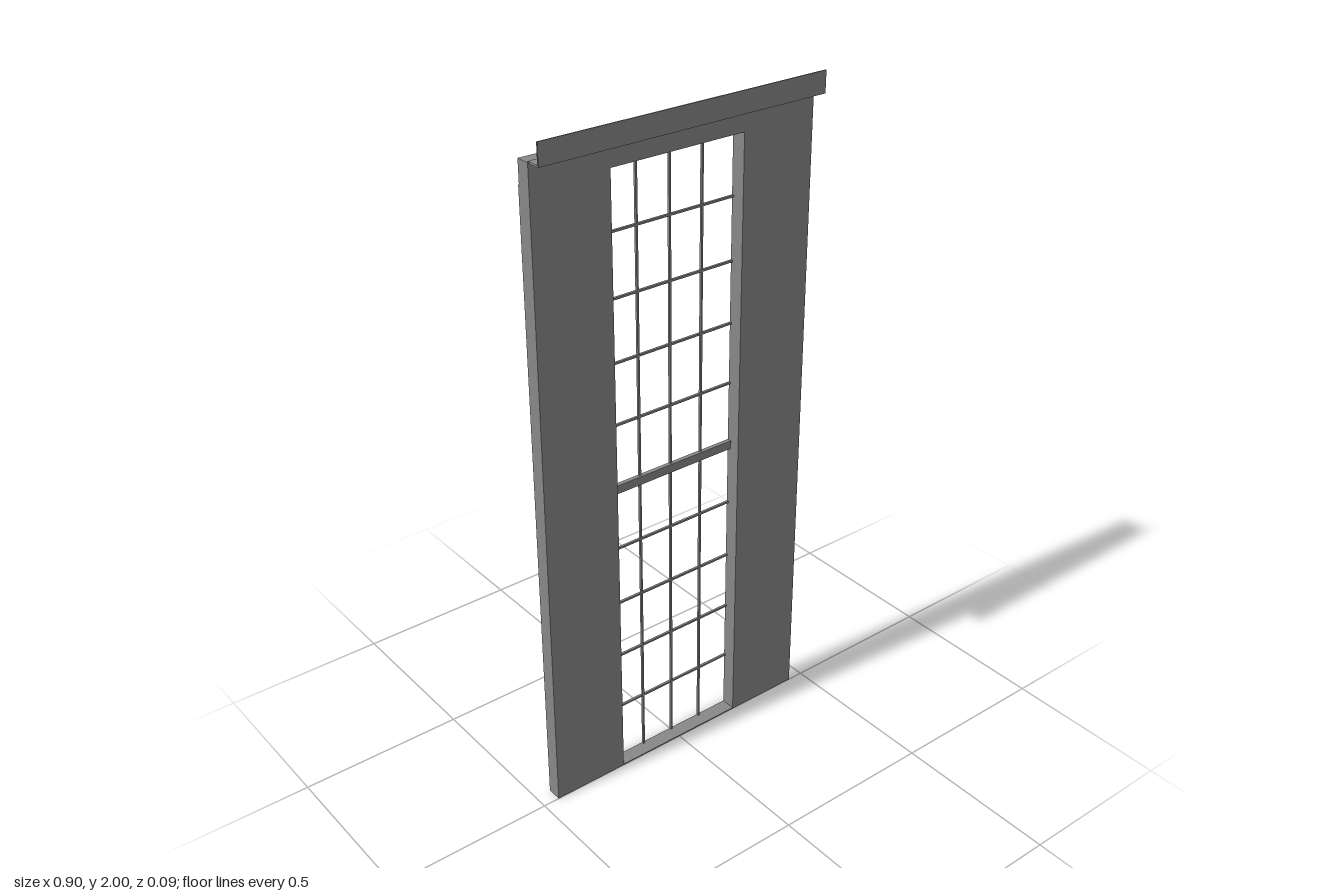
import * as THREE from 'three';

export function createModel() {
  const group = new THREE.Group();
  const mat = new THREE.MeshStandardMaterial({ color: 0x888888, side: THREE.DoubleSide });
  const add = (name, geo, x, y, z) => {
    const mesh = new THREE.Mesh(geo, mat);
    mesh.name = name;
    mesh.position.set(x, y, z);
    group.add(mesh);
    return mesh;
  };
  // Box given by its lower and upper corners
  const box = (name, x0, x1, y0, y1, z0, z1) => add(name,
    new THREE.BoxGeometry(x1 - x0, y1 - y0, z1 - z0), (x0 + x1) / 2, (y0 + y1) / 2, (z0 + z1) / 2);

  const W = 0.45, wallTop = 1.938, back = -0.045;
  const open = 0.213, openTop = 1.872, sill = 0.003;

  // Wall: two side panels, a slightly thinner lintel and a thin sill at the floor
  for (const s of [-1, 1]) {
    const edges = [s * open, s * W].sort((a, b) => a - b);
    box('sidePanel', ...edges, 0, openTop, back, 0);
  }
  box('lintel', -W, W, openTop, wallTop, -0.042, 0);
  box('sill', -open, open, 0, sill, back, 0);

  // Angle-shaped cornice of thin sheet with open ends: [z, y] outline swept along x
  const outline = [[0, wallTop], [0.044, wallTop], [0.044, 2], [0.04, 2], [0.04, 1.942], [0, 1.942]];
  outline.forEach(([z0, y0], i) => {
    const [z1, y1] = outline[(i + 1) % outline.length];
    const face = add('corniceFace', new THREE.PlaneGeometry(2 * W, Math.hypot(z1 - z0, y1 - y0)),
      0, (y0 + y1) / 2, (z0 + z1) / 2);
    face.rotation.x = Math.atan2(z1 - z0, y1 - y0);
  });

  // Window bars, set at the back of the opening
  const zf = -0.038, t = 0.003;
  const bar = (name, x0, x1, y0, y1) => box(name, x0, x1, y0, y1, back, zf);
  const sashes = [[sill, 0.927], [0.949, openTop]];
  for (const [y0, y1] of sashes) {
    for (const x of [-0.107, 0, 0.107]) bar('verticalGlazingBar', x - t, x + t, y0, y1);
    for (let i = 1; i < 5; i++) {
      const y = y0 + (y1 - y0) * i / 5;
      bar('horizontalGlazingBar', -open, open, y - t, y + t);
    }
  }

  // Meeting rail between the lower and upper sashes
  box('meetingRail', -open, open, 0.925, 0.951, back, -0.032);

  return group;
}
